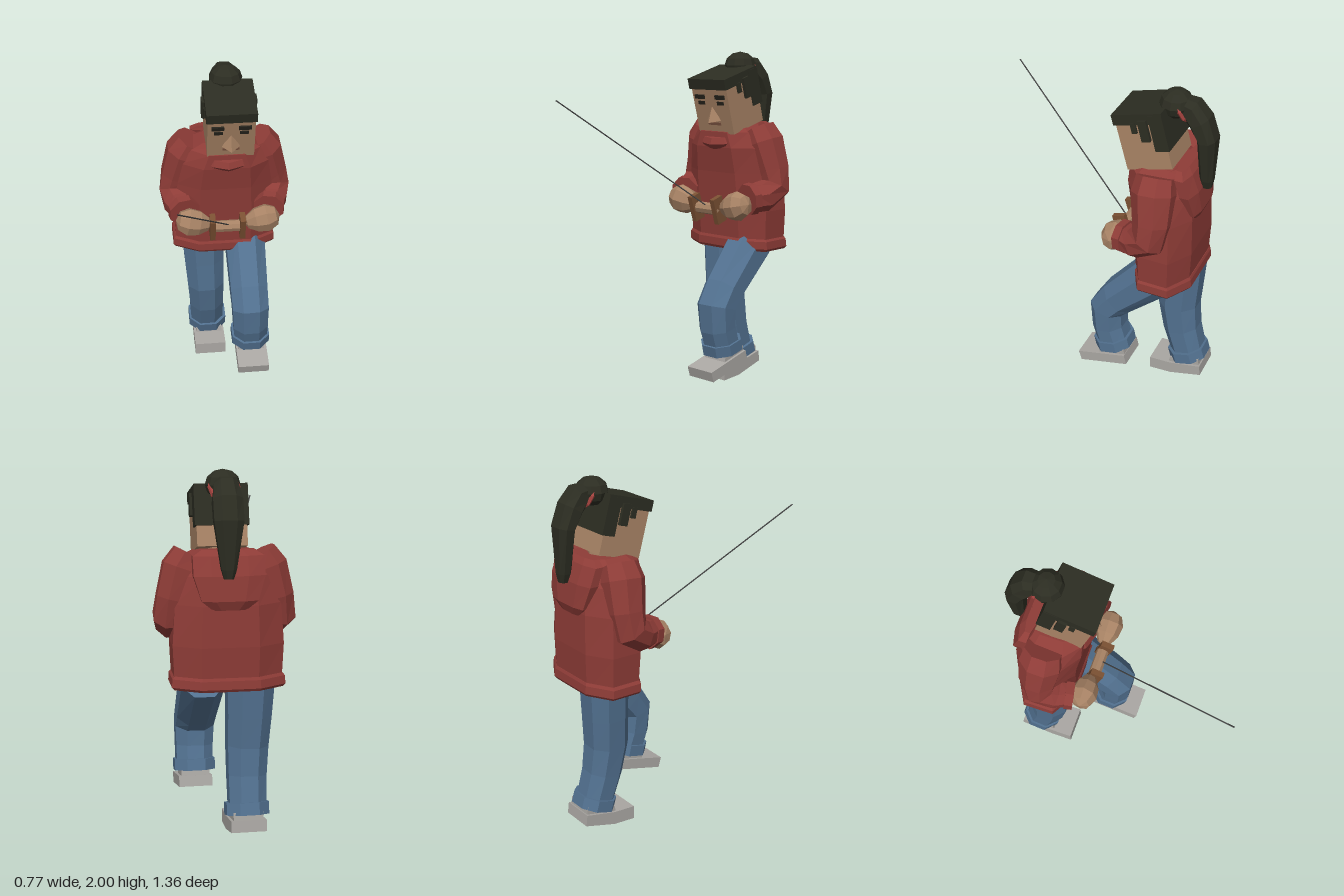
import * as THREE from 'three';

const mat = (name, color) => Object.assign(new THREE.MeshStandardMaterial({ color, flatShading: true }), { name });

// Skin a tube over [x, y, z, halfWidth, halfDepth] sections; round < 1 makes it boxier
function loft(sections, { sides = 8, round = 1, level = false } = {}) {
  const pts = sections.map(s => new THREE.Vector3(s[0], s[1], s[2]));
  const pow = v => Math.sign(v) * Math.abs(v) ** round;
  const norm = pow(Math.cos(Math.PI / sides));
  const rings = sections.map((s, k) => {
    const t = level ? new THREE.Vector3(0, 1, 0)
      : pts[Math.min(k + 1, pts.length - 1)].clone().sub(pts[Math.max(k - 1, 0)]).normalize();
    const u = new THREE.Vector3(1, 0, 0).addScaledVector(t, -t.x).normalize();
    const v = u.clone().cross(t);
    return Array.from({ length: sides }, (_, i) => {
      const a = (i + 0.5) / sides * Math.PI * 2;
      return pts[k].clone().addScaledVector(u, pow(Math.cos(a)) / norm * s[3])
        .addScaledVector(v, pow(Math.sin(a)) / norm * s[4]);
    });
  });
  const out = [];
  const tri = (...p) => p.forEach(q => out.push(q.x, q.y, q.z));
  const last = rings.length - 1;
  for (let i = 0; i < sides; i++) {
    const j = (i + 1) % sides;
    for (let k = 0; k < last; k++) {
      const a = rings[k], b = rings[k + 1];
      tri(a[i], b[i], a[j]);
      tri(a[j], b[i], b[j]);
    }
    tri(pts[0], rings[0][i], rings[0][j]);
    tri(pts[last], rings[last][j], rings[last][i]);
  }
  const g = new THREE.BufferGeometry();
  g.setAttribute('position', new THREE.Float32BufferAttribute(out, 3));
  g.computeVertexNormals();
  return g;
}

export function createModel() {
  const root = new THREE.Group();
  root.name = 'walkingFigure';
  const skin = mat('skin', 0xa88365), hair = mat('hair', 0x2c2d22), red = mat('sweaterRed', 0x8e3c37);
  const denim = mat('denim', 0x527190), shoe = mat('shoeGrey', 0xaaa7a3), wood = mat('brown', 0x7b5133);
  const lip = mat('lip', 0x7d5542), metal = mat('darkMetal', 0x444444), dark = mat('eyeDark', 0x25231c);
  const band = mat('hairBand', 0xa6433f);

  const add = (name, geo, m, parent = root, p = [0, 0, 0]) => {
    const mesh = new THREE.Mesh(geo, m);
    mesh.name = name;
    mesh.position.set(...p);
    parent.add(mesh);
    return mesh;
  };
  const box = (name, s, p, m, parent) => add(name, new THREE.BoxGeometry(...s), m, parent, p);

  // Head, nodding forward
  const head = new THREE.Group();
  head.name = 'head';
  head.position.set(0.02, 1.725, -0.315);
  head.rotation.x = 0.27;
  root.add(head);
  box('face', [0.27, 0.32, 0.265], [0, -0.005, 0], skin, head);
  box('hairCap', [0.285, 0.062, 0.29], [0, 0.134, 0], hair, head);
  box('hairBack', [0.29, 0.21, 0.08], [0, 0.05, -0.105], hair, head);
  for (const s of [-1, 1]) {
    box('hairTuft', [0.02, 0.12, 0.05], [s * 0.147, 0.07, -0.03], hair, head);
    box('sideburn', [0.014, 0.06, 0.03], [s * 0.14, 0.085, 0.03], hair, head);
    box('brow', [0.07, 0.024, 0.014], [s * 0.077, 0.057, 0.136], dark, head);
    box('eye', [0.048, 0.02, 0.009], [s * 0.073, 0.02, 0.134], dark, head);
  }
  const nose = loft([[0, -0.075, 0.145, 0.038, 0.038], [0, -0.07, 0.15, 0.038, 0.035],
    [0, 0.02, 0.13, 0.008, 0.01]], { sides: 4, level: true });
  nose.rotateY(0);
  const noseCone = new THREE.ConeGeometry(0.052, 0.095, 4);
  noseCone.translate(0, 0.0475, 0);
  // lean the tip back into the face
  const np = noseCone.attributes.position;
  for (let i = 0; i < np.count; i++) if (np.getY(i) > 0.05) np.setZ(i, -0.01);
  noseCone.computeVertexNormals();
  add('nose', noseCone, skin, head, [0, -0.085, 0.135]);
  box('mouth', [0.095, 0.016, 0.009], [0, -0.105, 0.133], lip, head);
  add('neck', new THREE.CylinderGeometry(0.085, 0.09, 0.18, 8), skin, root, [0.01, 1.52, -0.38]);

  // Bun, hair band and ponytail
  add('bun', new THREE.SphereGeometry(0.095, 10, 6), hair, root, [0.014, 1.92, -0.44]).scale.set(1, 0.84, 0.95);
  const ring = add('hairBand', new THREE.TorusGeometry(0.075, 0.012, 5, 10), band, root, [0.014, 1.91, -0.485]);
  ring.rotation.x = 0.42;
  add('ponytail', loft([[0.012, 1.45, -0.635, 0.025, 0.025], [0.012, 1.5, -0.632, 0.04, 0.036],
    [0.012, 1.75, -0.625, 0.078, 0.05], [0.012, 1.85, -0.58, 0.078, 0.06],
    [0.012, 1.905, -0.53, 0.065, 0.065], [0.012, 1.92, -0.46, 0.05, 0.05]], { round: 0.8 }), hair);

  // Sweater
  const level = { level: true, round: 0.75 };
  add('sweaterBody', loft([[-0.005, 0.86, -0.45, 0.29, 0.16], [-0.005, 1.08, -0.445, 0.3, 0.172],
    [-0.005, 1.3, -0.43, 0.285, 0.178], [0, 1.45, -0.405, 0.26, 0.18],
    [0, 1.54, -0.39, 0.2, 0.165], [0.005, 1.575, -0.39, 0.13, 0.13]], level), red);
  add('hem', loft([[-0.007, 0.84, -0.453, 0.295, 0.165], [-0.007, 0.855, -0.453, 0.308, 0.174],
    [-0.007, 0.9, -0.45, 0.305, 0.172], [-0.007, 0.915, -0.45, 0.292, 0.165]], level), red);
  const collar = add('collar', new THREE.TorusGeometry(0.14, 0.038, 6, 12), red, root, [0.008, 1.515, -0.38]);
  collar.rotation.x = Math.PI / 2 + 0.25;
  collar.scale.set(1, 1.12, 1);
  add('hood', loft([[0, 1.28, -0.595, 0.09, 0.022], [0, 1.33, -0.6, 0.15, 0.036],
    [0, 1.46, -0.57, 0.19, 0.05], [0, 1.56, -0.535, 0.19, 0.045], [0, 1.59, -0.52, 0.14, 0.03]], level), red);

  // Arms, cuffs and hands
  for (const s of [-1, 1]) {
    const arm = new THREE.Group();
    arm.name = s > 0 ? 'leftArm' : 'rightArm';
    root.add(arm);
    add('sleeve', loft([[s * 0.19, 1.555, -0.41, 0.085, 0.1], [s * 0.23, 1.48, -0.415, 0.105, 0.115],
      [s * 0.275, 1.32, -0.43, 0.095, 0.1], [s * 0.29, 1.22, -0.42, 0.095, 0.095],
      [s * 0.275, 1.17, -0.34, 0.09, 0.085], [s * 0.255, 1.16, -0.27, 0.075, 0.075]]), red, arm);
    add('cuff', loft([[s * 0.258, 1.165, -0.285, 0.088, 0.088], [s * 0.248, 1.16, -0.24, 0.088, 0.085]]), red, arm);
    const palm = new THREE.SphereGeometry(1, 8, 5).rotateZ(Math.PI / 2);
    const p = palm.attributes.position;
    for (let i = 0; i < p.count; i++) {
      const taper = 0.85 + 0.18 * s * p.getX(i);
      p.setXYZ(i, p.getX(i) * 0.108, p.getY(i) * 0.1 * taper, p.getZ(i) * 0.09 * taper);
    }
    palm.computeVertexNormals();
    add('hand', palm, skin, arm, [s * 0.2, 1.12, -0.19]).rotation.z = s * 0.2;
  }

  // Hand-held control bar with aerial
  const bar = add('controlBar', new THREE.CylinderGeometry(0.035, 0.035, 0.2, 8), skin, root, [0, 1.09, -0.18]);
  bar.rotation.z = Math.PI / 2;
  for (const x of [-0.092, 0.084])
    box('barEnd', [0.032, 0.155, 0.075], [x, 1.09, -0.175], wood).rotation.x = 0.3;
  const from = new THREE.Vector3(0, 1.11, -0.16), to = new THREE.Vector3(-0.342, 1.745, 0.68);
  add('aerial', new THREE.TubeGeometry(new THREE.LineCurve3(from, to), 1, 0.004, 5), metal);

  // Legs: left one striding forward, right one planted
  const legOpts = { round: 0.9 };
  add('leftLeg', loft([[0.135, 0.27, -0.165, 0.1, 0.095], [0.13, 0.4, -0.125, 0.105, 0.095],
    [0.128, 0.53, -0.115, 0.11, 0.1], [0.125, 0.62, -0.18, 0.112, 0.105],
    [0.122, 0.88, -0.43, 0.12, 0.13]], legOpts), denim);
  add('leftCuff', loft([[0.133, 0.262, -0.165, 0.115, 0.11], [0.133, 0.325, -0.15, 0.115, 0.11]], legOpts), denim);
  add('rightLeg', loft([[-0.107, 0.13, -0.555, 0.1, 0.095], [-0.112, 0.33, -0.495, 0.105, 0.105],
    [-0.118, 0.5, -0.468, 0.112, 0.115], [-0.125, 0.68, -0.475, 0.12, 0.118],
    [-0.13, 0.9, -0.48, 0.13, 0.125]], legOpts), denim);
  add('rightCuff', loft([[-0.105, 0.125, -0.557, 0.117, 0.112], [-0.105, 0.19, -0.538, 0.117, 0.112]], legOpts), denim);

  // Shoes: side profiles in [z, y], extruded across x
  const slab = (name, pts, x, width) => {
    const shape = new THREE.Shape(pts.map(([z, y]) => new THREE.Vector2(-z, y)));
    const g = new THREE.ExtrudeGeometry(shape, { depth: width, bevelEnabled: false });
    g.translate(0, 0, -width / 2).rotateY(Math.PI / 2);
    add(name, g, shoe, root, [x, 0, 0]);
  };
  slab('leftShoe', [[0.02, 0.12], [0.038, 0.18], [-0.1, 0.215], [-0.26, 0.255], [-0.275, 0.195]], 0.137, 0.19);
  slab('leftShoeTop', [[-0.09, 0.2], [-0.1, 0.25], [-0.25, 0.285], [-0.26, 0.24]], 0.137, 0.16);
  slab('rightShoe', [[-0.335, 0], [-0.335, 0.078], [-0.47, 0.085], [-0.655, 0.125], [-0.663, 0.06], [-0.47, 0.008]], -0.1, 0.195);
  slab('rightShoeTop', [[-0.45, 0.07], [-0.46, 0.115], [-0.64, 0.165], [-0.65, 0.1]], -0.1, 0.165);
  return root;
}
